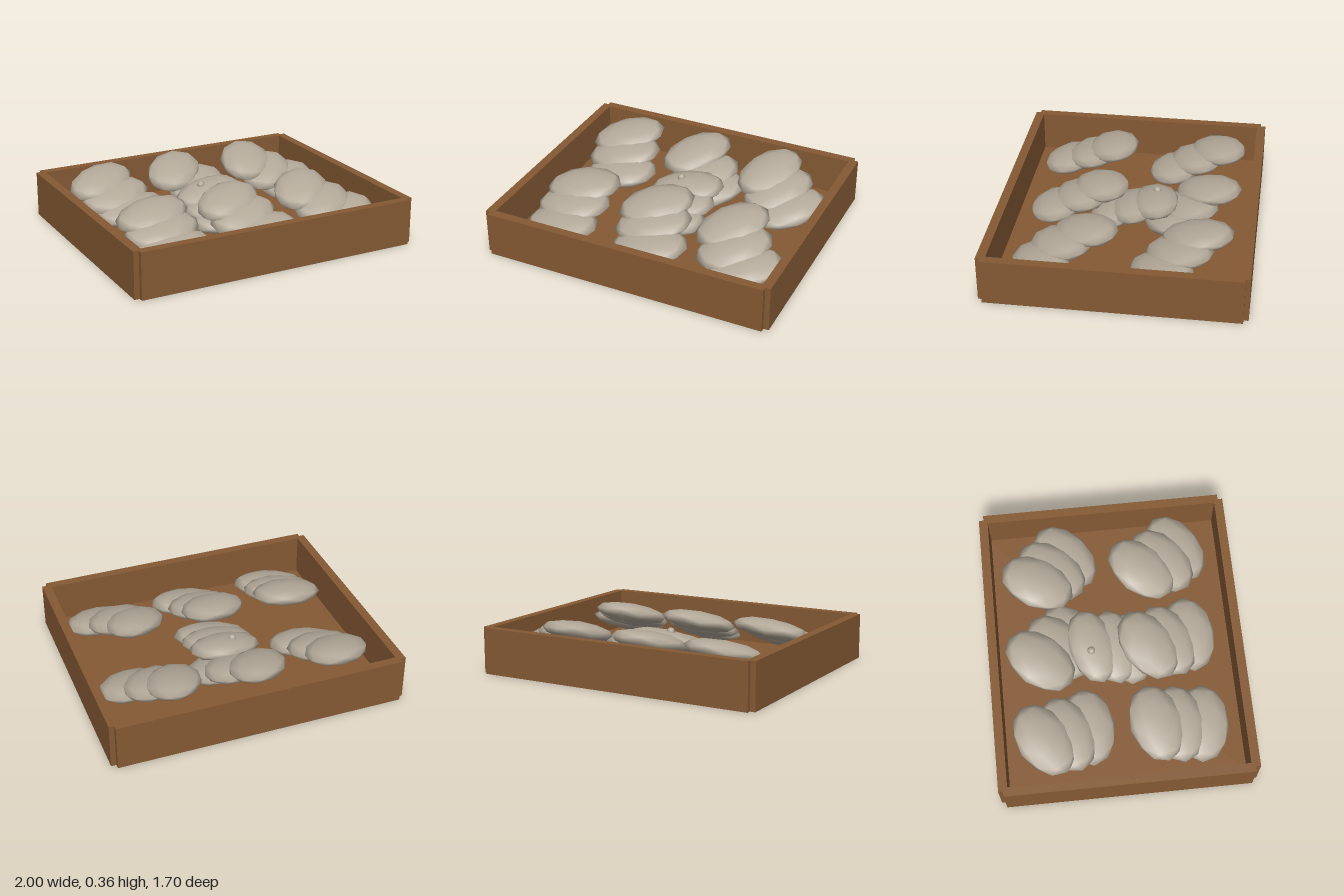
import * as THREE from 'three';

export function createModel() {
  const group = new THREE.Group();
  group.name = 'shellCrate';
  const wood = new THREE.MeshStandardMaterial({ color: 0x855a34 });
  wood.name = 'brown wood';
  const shell = new THREE.MeshStandardMaterial({ color: 0xb3a999 });
  shell.name = 'grey shell';

  const board = (name, w, h, d, x, y, z) => {
    const mesh = new THREE.Mesh(new THREE.BoxGeometry(w, h, d), wood);
    mesh.name = name;
    mesh.position.set(x, y, z);
    group.add(mesh);
  };

  // Tray: floor and four walls with notched corners
  board('floor', 1.93, 0.03, 1.64, 0, 0.015, 0);
  board('frontWall', 1.93, 0.31, 0.06, 0, 0.155, 0.822);
  board('backWall', 1.93, 0.31, 0.06, 0, 0.155, -0.822);
  board('leftWall', 0.06, 0.31, 1.64, 0.97, 0.155, 0);
  board('rightWall', 0.06, 0.31, 1.64, -0.97, 0.155, 0);

  // Piles of three shells, top to bottom: x, z, yaw in degrees, optional height
  const heights = [0.272, 0.212, 0.155];
  const piles = {
    backRightPile: [[-0.64, -0.53, 32], [-0.6, -0.38, 20], [-0.55, -0.235, 5]],
    backCentrePile: [[-0.09, -0.51, 52], [0.02, -0.38, 42, 0.197], [0.1, -0.29, 35, 0.14]],
    backLeftPile: [[0.475, -0.485, 66], [0.58, -0.38, 52], [0.7, -0.28, 42]],
    frontRightPile: [[-0.6, 0.215, 14], [-0.6, 0.36, 6], [-0.6, 0.525, -5]],
    frontCentrePile: [[-0.05, 0.22, 33], [-0.01, 0.355, 25], [0.04, 0.51, 5]],
    frontLeftPile: [[0.505, 0.235, 50], [0.58, 0.385, 42], [0.69, 0.495, 33]],
    middlePile: [[0, -0.155, 14, 0.207], [0, -0.01, 7, 0.16], [0, 0.12, -5, 0.115]],
  };
  const shellShape = new THREE.IcosahedronGeometry(1, 1);
  for (const [name, shells] of Object.entries(piles)) {
    const pile = new THREE.Group();
    pile.name = name;
    shells.forEach(([x, z, yaw, y], i) => {
      const mesh = new THREE.Mesh(shellShape, shell);
      mesh.name = 'shell';
      mesh.scale.set(0.26, 0.068, name === 'middlePile' ? 0.165 : 0.183);
      mesh.position.set(x, y ?? heights[i], z);
      // Leaned along its length, turned, then leaned so the back edge rises
      mesh.rotation.set(0.15, THREE.MathUtils.degToRad(yaw), 0.11);
      pile.add(mesh);
    });
    group.add(pile);
  }

  // Small pearl on the middle pile
  const pearl = new THREE.Mesh(new THREE.IcosahedronGeometry(0.027, 1), shell);
  pearl.name = 'pearl';
  pearl.position.set(-0.05, 0.268, -0.165);
  group.add(pearl);

  return group;
}
